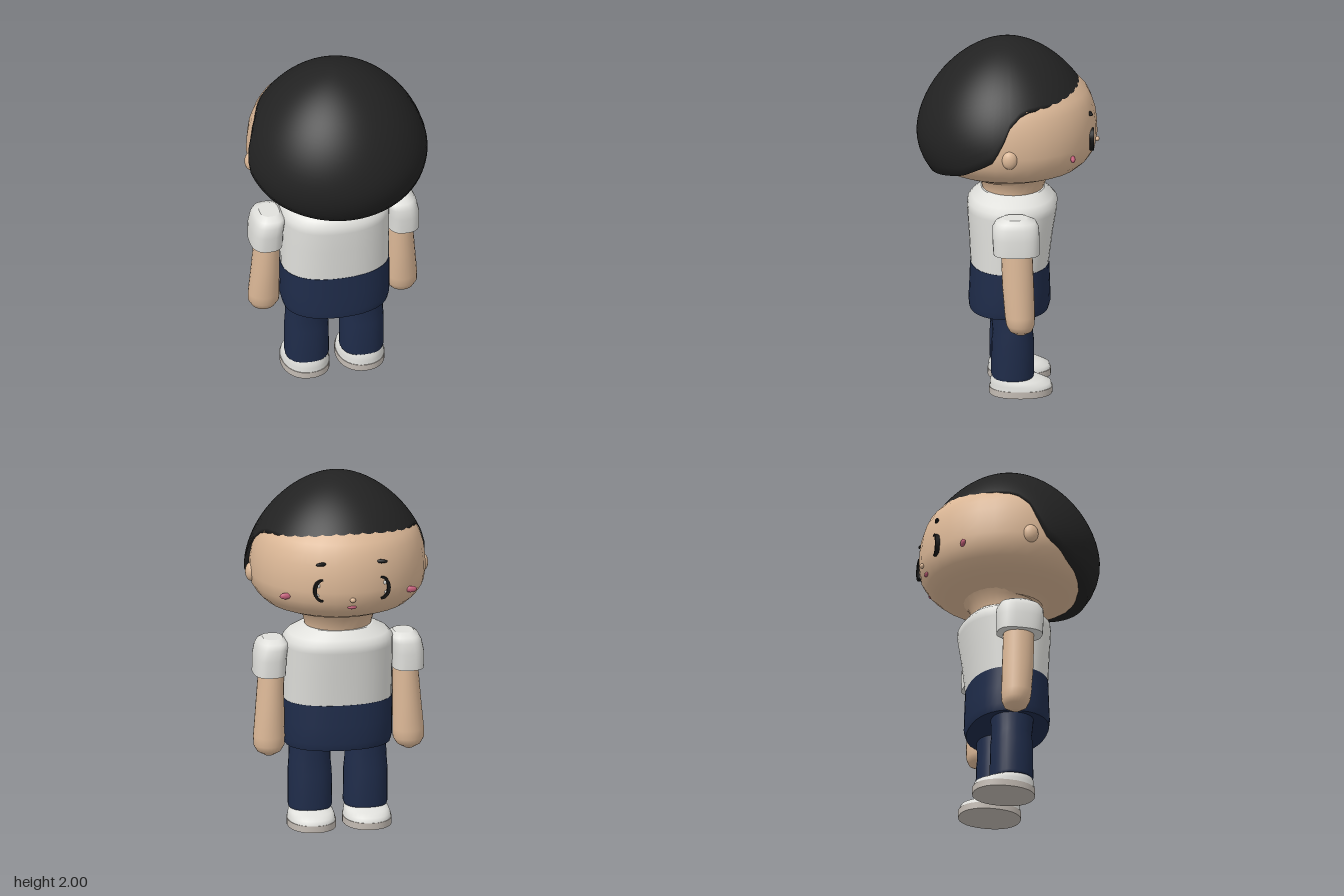
import * as THREE from 'three';

const material = (name, color, side = THREE.FrontSide) => {
  const m = new THREE.MeshStandardMaterial({ color, side });
  m.name = name;
  return m;
};

// Skin a list of equal rings, ordered from bottom to top, with optional flat end caps
function skinRings(rings, caps = true) {
  const n = rings[0].length, pos = [], index = [];
  rings.forEach(r => r.forEach(p => pos.push(...p)));
  for (let i = 0; i < rings.length - 1; i++) {
    for (let j = 0; j < n; j++) {
      const a = i * n + j, b = i * n + (j + 1) % n;
      index.push(a, a + n, b, b, a + n, b + n);
    }
  }
  if (caps) {
    [rings[0], rings[rings.length - 1]].forEach((ring, top) => {
      const c = pos.length / 3;
      const mid = [0, 1, 2].map(k => ring.reduce((s, p) => s + p[k], 0) / n);
      pos.push(...mid);
      ring.forEach(p => pos.push(...p));
      for (let j = 0; j < n; j++) {
        const a = c + 1 + j, b = c + 1 + (j + 1) % n;
        index.push(c, top ? b : a, top ? a : b);
      }
    });
  }
  const g = new THREE.BufferGeometry();
  g.setAttribute('position', new THREE.Float32BufferAttribute(pos, 3));
  g.setIndex(index);
  g.computeVertexNormals();
  return g;
}

// Oval cross-sections: [y, xMin, xMax, zMin, zMax]
function loft(sections, segments = 28, power = 2) {
  const bend = v => Math.sign(v) * Math.abs(v) ** (2 / power);
  return skinRings(sections.map(([y, x0, x1, z0, z1]) =>
    Array.from({ length: segments }, (_, j) => {
      const a = j / segments * Math.PI * 2;
      return [(x0 + x1) / 2 + bend(Math.cos(a)) * (x1 - x0) / 2, y,
        (z0 + z1) / 2 + bend(Math.sin(a)) * (z1 - z0) / 2];
    })));
}

// Hair cap: domed shell whose lower edge rises from the nape to the fringe
function hairGeometry() {
  const edge = [[-1, 1.7], [-0.45, 1.712], [-0.25, 1.705], [-0.13, 1.685], [0, 1.63],
    [0.1, 1.52], [0.2, 1.435], [0.54, 1.34], [1, 1.27]];
  const edgeY = c => {
    const i = Math.max(1, edge.findIndex(e => e[0] >= c - 1e-6));
    const [c0, y0] = edge[i - 1], [c1, y1] = edge[i];
    return y0 + (y1 - y0) * (c - c0) / (c1 - c0);
  };
  const radius = y => y > 1.47
    ? 0.507 * Math.max(0, 1 - ((y - 1.47) / 0.53) ** 1.75) ** (1 / 1.75)
    : 0.507 * Math.sqrt(1 - ((1.47 - y) / 0.39) ** 2);
  const rows = 26, segments = 96, rings = [];
  for (let i = -1; i <= rows; i++) {
    const t = 1 - Math.max(i, 0) / rows;
    rings.push(Array.from({ length: segments }, (_, j) => {
      const a = j / segments * Math.PI * 2;
      const low = edgeY(Math.sin(a));
      const y = 2 - (2 - low) * t * t;
      const r = radius(y) - (i < 0 ? 0.06 : 0);
      return [r * Math.cos(a) * 1.005, y + (i < 0 ? 0.012 : 0), r * Math.sin(a) * 0.985];
    }));
  }
  return skinRings(rings, false);
}

export function createModel() {
  const model = new THREE.Group();
  model.name = 'figure';
  const skin = material('skin', 0xdcb897);
  const black = material('hair black', 0x222222, THREE.DoubleSide);
  const ink = material('eye black', 0x161616);
  const white = material('shirt white', 0xe0e0dc);
  const navy = material('trouser navy', 0x1f2c4a);
  const pink = material('blush pink', 0xc4607a);
  const soleGrey = material('sole grey', 0xc4bcb4);

  const add = (name, geometry, mat, parent = model) => {
    const m = new THREE.Mesh(geometry, mat);
    m.name = name;
    parent.add(m);
    return m;
  };
  const ball = (name, mat, position, scale, turn = 0, parent = model) => {
    const m = add(name, new THREE.SphereGeometry(1, 18, 12), mat, parent);
    m.position.set(...position);
    m.scale.set(...scale);
    m.rotation.y = turn;
    return m;
  };

  // Head and neck
  const headProfile = [[1.21, 0.2], [1.235, 0.235], [1.26, 0.32], [1.29, 0.395], [1.33, 0.44], [1.385, 0.475],
    [1.45, 0.486], [1.53, 0.484], [1.6, 0.474], [1.66, 0.455], [1.71, 0.43], [1.78, 0.365], [1.87, 0.23], [1.93, 0.05]];
  add('head', loft(headProfile.map(([y, r]) => [y, -r, r, -r - 0.008, r - 0.012]), 32), skin);
  add('neck', loft([[1.1, -0.18, 0.18, -0.19, 0.13], [1.15, -0.185, 0.185, -0.2, 0.14],
    [1.21, -0.2, 0.2, -0.225, 0.15], [1.25, -0.24, 0.24, -0.26, 0.2]]), skin);
  add('hair', hairGeometry(), black);

  // Nose and mouth
  ball('nose', skin, [0, 1.41, -0.492], [0.016, 0.014, 0.014]);
  ball('mouth', pink, [0, 1.362, -0.466], [0.026, 0.011, 0.012]);

  // Torso
  add('shirt', loft([[0.715, -0.3, 0.3, -0.227, 0.203], [0.9, -0.302, 0.302, -0.25, 0.213],
    [1.03, -0.302, 0.302, -0.272, 0.222], [1.07, -0.302, 0.302, -0.275, 0.218],
    [1.1, -0.275, 0.275, -0.25, 0.195], [1.145, -0.19, 0.19, -0.205, 0.145]], 36, 2.3), white);
  add('trouserHips', loft([[0.46, -0.292, 0.292, -0.226, 0.21], [0.5, -0.302, 0.302, -0.237, 0.214],
    [0.6, -0.303, 0.303, -0.234, 0.209], [0.72, -0.302, 0.302, -0.229, 0.205]], 36, 2.3), navy);

  // Crescent eye outline, open toward the nose
  const crescent = new THREE.Shape();
  crescent.absellipse(0, 0, 0.05, 0.066, -1.6, 1.6, false);
  crescent.absellipse(-0.004, 0, 0.036, 0.056, 1.6, -1.6, true);
  const eyeGeometry = new THREE.ExtrudeGeometry(crescent, { depth: 0.024, bevelEnabled: false, curveSegments: 16 });

  // Paired parts
  for (const s of [1, -1]) {
    const side = new THREE.Group();
    side.name = s > 0 ? 'leftParts' : 'rightParts';
    model.add(side);
    const span = (a, b) => s > 0 ? [a, b] : [-b, -a];
    const sided = list => list.map(([y, a, b, z0, z1]) => [y, ...span(a, b), z0, z1]);

    // Face
    ball('ear', skin, [s * 0.478, 1.45, 0.002], [0.032, 0.052, 0.042], 0, side);
    ball('cheek', pink, [s * 0.35, 1.41, -0.35], [0.033, 0.018, 0.013], 0, side);
    ball('eyebrow', ink, [s * 0.165, 1.612, -0.449], [0.036, 0.011, 0.012], s * 0.25, side);
    const eye = add('eye', eyeGeometry, ink, side);
    eye.position.set(s * 0.165, 1.465, s > 0 ? -0.47 : -0.446);
    if (s < 0) eye.rotation.y = Math.PI;
    ball('eyeGlint', white, [s * 0.184, 1.492, -0.453], [0.011, 0.013, 0.008], 0, side);
    ball('eyeGlint', white, [s * 0.188, 1.436, -0.45], [0.009, 0.01, 0.008], 0, side);

    // Sleeve and arm
    add('sleeve', loft(sided([[0.878, 0.296, 0.475, -0.165, 0.088], [0.97, 0.293, 0.474, -0.166, 0.094],
      [1.03, 0.285, 0.462, -0.162, 0.094], [1.06, 0.285, 0.447, -0.145, 0.075],
      [1.08, 0.31, 0.42, -0.1, 0.035]]), 28, 2.7), white, side);
    add('arm', loft(sided([[0.41, 0.37, 0.41, -0.085, -0.04], [0.435, 0.325, 0.455, -0.125, 0],
      [0.47, 0.303, 0.475, -0.138, 0.018], [0.52, 0.301, 0.476, -0.14, 0.026],
      [0.7, 0.303, 0.46, -0.134, 0.04], [0.92, 0.305, 0.442, -0.125, 0.046]]), 24), skin, side);

    // Leg
    add('trouserLeg', loft(sided([[0.095, 0.038, 0.272, -0.138, 0.088], [0.11, 0.032, 0.276, -0.143, 0.094],
      [0.3, 0.035, 0.276, -0.142, 0.092], [0.36, 0.041, 0.272, -0.135, 0.085],
      [0.45, 0.043, 0.268, -0.138, 0.095], [0.52, 0.043, 0.268, -0.138, 0.095]]), 28, 2.2), navy, side);

    // Shoe
    add('shoeSole', loft(sided([[0, 0.021, 0.289, -0.243, 0.104], [0.038, 0.021, 0.289, -0.244, 0.105]]), 32, 2.2),
      soleGrey, side);
    add('shoeUpper', loft(sided([[0.038, 0.024, 0.286, -0.241, 0.102], [0.062, 0.028, 0.282, -0.234, 0.1],
      [0.08, 0.034, 0.276, -0.19, 0.098], [0.1, 0.048, 0.262, -0.13, 0.09]]), 32, 2.2), white, side);
  }
  return model;
}
